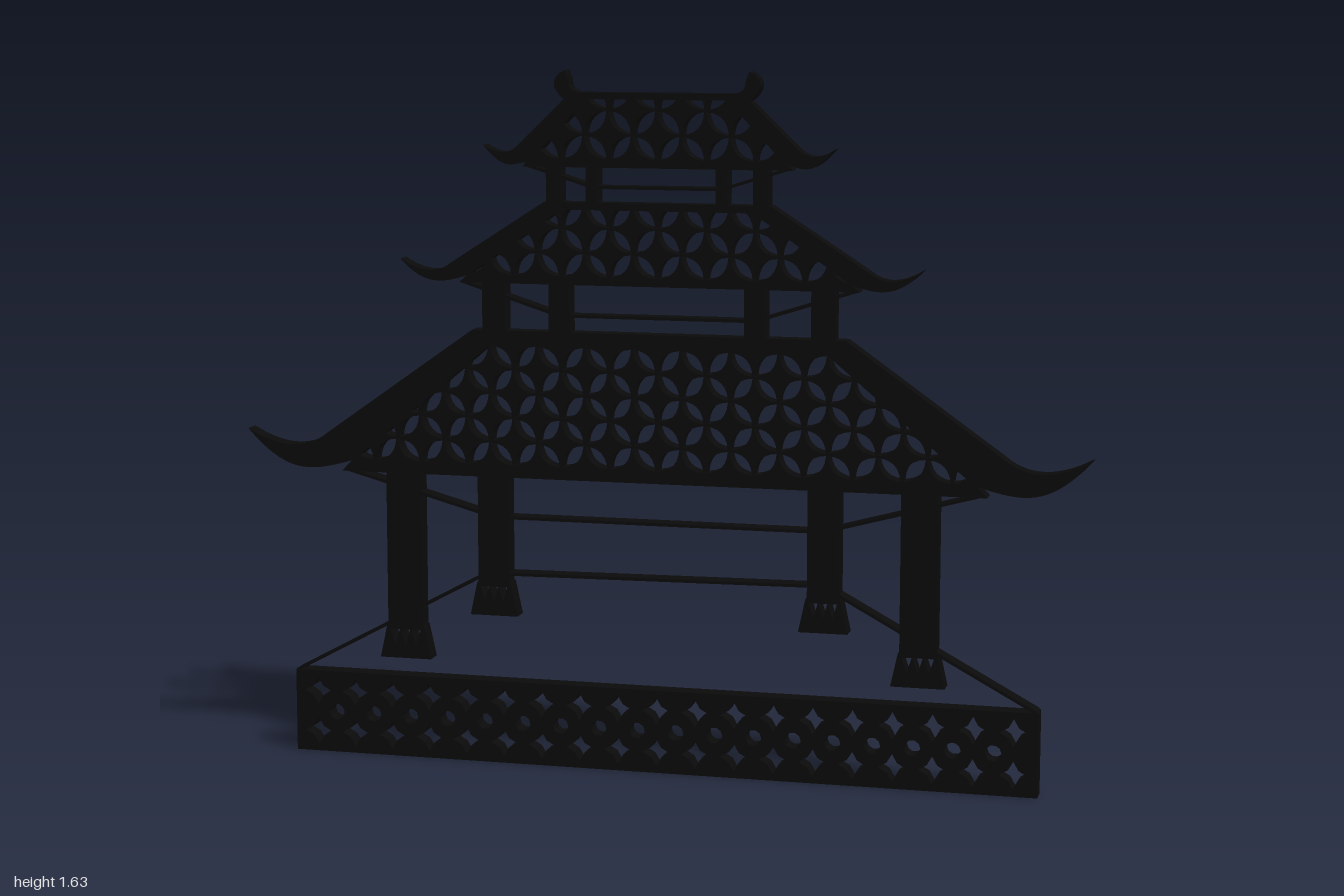
import * as THREE from 'three';

const DEPTH = 0.044;
const material = new THREE.MeshStandardMaterial({ color: 0x0a0a0a });
const vec = (pts) => pts.map(([x, y]) => new THREE.Vector2(x, y));
const mirror = (pts) => pts.map(([x, y]) => [-x, y]);

// Flat plate cut from a shape, centred on z = 0
function plate(name, shape, curveSegments = 8) {
  const geo = new THREE.ExtrudeGeometry(shape, { depth: DEPTH, bevelEnabled: false, curveSegments });
  geo.translate(0, 0, -DEPTH / 2);
  const mesh = new THREE.Mesh(geo, material);
  mesh.name = name;
  return mesh;
}

function polygon(pts, holes = []) {
  const shape = new THREE.Shape(vec(pts));
  for (const h of holes) shape.holes.push(new THREE.Path(vec(h)));
  return shape;
}

const rect = (x0, x1, y0, y1) => [[x0, y0], [x1, y0], [x1, y1], [x0, y1]];

// Thin rail between two points
function rail(name, [x0, y0], [x1, y1], w = 0.007) {
  const geo = new THREE.BoxGeometry(Math.hypot(x1 - x0, y1 - y0), w, DEPTH);
  geo.rotateZ(Math.atan2(y1 - y0, x1 - x0));
  geo.translate((x0 + x1) / 2, (y0 + y1) / 2, 0);
  const mesh = new THREE.Mesh(geo, material);
  mesh.name = name;
  return mesh;
}

// Clip a convex polygon to a convex counter-clockwise one
function clip(poly, bounds) {
  let out = poly;
  bounds.forEach((a, i) => {
    const b = bounds[(i + 1) % bounds.length];
    const side = (p) => (b[0] - a[0]) * (p[1] - a[1]) - (b[1] - a[1]) * (p[0] - a[0]);
    const src = out;
    out = [];
    src.forEach((p, k) => {
      const q = src[(k + 1) % src.length], sp = side(p), sq = side(q);
      if (sp >= 0) out.push(p);
      if (sp * sq < 0) {
        const t = sp / (sp - sq);
        out.push([p[0] + (q[0] - p[0]) * t, p[1] + (q[1] - p[1]) * t]);
      }
    });
  });
  return out;
}

const area = (p) => Math.abs(THREE.ShapeUtils.area(vec(p)));

// Leaf-shaped opening, the overlap of two quarter arcs
function petal(cx, cy, angle, length, width) {
  const pts = [], n = 6;
  for (let s = 0; s < 2; s++) {
    for (let i = 0; i < n; i++) {
      const t = i / n, sign = s ? -1 : 1;
      const u = sign * (t - 0.5) * length, v = -sign * 2 * t * (1 - t) * width;
      pts.push([cx + u * Math.cos(angle) - v * Math.sin(angle), cy + u * Math.sin(angle) + v * Math.cos(angle)]);
    }
  }
  return pts;
}

// Interlaced-circle openings filling a trapezoid
function lattice(bounds, period = 0.114) {
  const holes = [], h = period / 2, y0 = bounds[0][1], rows = Math.ceil((bounds[2][1] - y0) / h);
  const cols = Math.ceil(bounds[1][0] / h) + 1;
  for (let j = 0; j < rows; j++) {
    for (let i = -cols; i < cols; i++) {
      const angle = (i + j) % 2 === 0 ? Math.PI / 4 : -Math.PI / 4;
      const p = clip(petal((i + 0.5) * h, y0 + (j + 0.5) * h, angle, h * 1.3, h * 0.57), bounds);
      if (p.length > 2 && area(p) > 1e-4) holes.push(p);
    }
  }
  return holes;
}

// Pierced roof panel with a sweeping hip on either side
function roof(name, r) {
  const group = new THREE.Group();
  group.name = name;
  const outer = [[-r.eave, r.bottom], [r.eave, r.bottom], [r.ridge, r.top], [-r.ridge, r.top]];
  const [lowX, lowY] = r.innerLow, [highX, highY] = r.innerHigh;
  const inner = [[-lowX, lowY], [lowX, lowY], [highX, highY], [-highX, highY]];
  group.add(plate('roofPanel', polygon(outer, lattice(inner))));
  const [tipX, tipY] = r.tip, [bendX, bendY] = r.bend;
  for (const s of [1, -1]) {
    const hip = new THREE.Shape();
    hip.moveTo(s * highX, highY);
    hip.lineTo(s * r.ridge, r.top);
    hip.lineTo(s * bendX, bendY);
    hip.quadraticCurveTo(s * (bendX + (tipX - bendX) * 0.4), bendY - r.dip, s * tipX, tipY);
    hip.bezierCurveTo(s * (tipX - 0.1 * r.k), tipY - 0.11 * r.k, s * (r.eave + 0.08 * r.k), r.bottom - 0.005, s * lowX, lowY);
    group.add(plate('roofHip', hip, 14));
  }
  return group;
}

// Post with a splayed foot, cut by a row of pointed notches
function post(x0, x1, y0, y1, footBottom, pad) {
  const group = new THREE.Group();
  group.name = 'column';
  group.add(plate('columnShaft', polygon(rect(x0, x1, y0, y1))));
  const w = (x1 - x0 - 0.008) / 3, top = y0 - 0.006, notches = [];
  for (let i = 0; i < 3; i++) {
    const a = x0 + 0.004 + i * w;
    notches.push([[a + 0.001, top], [a + w / 2, top - 0.036], [a + w - 0.001, top]]);
  }
  const foot = [[x0 - pad, footBottom], [x1 + pad, footBottom], [x1 + 0.003, y0 + 0.004], [x0 - 0.003, y0 + 0.004]];
  group.add(plate('columnFoot', polygon(foot, notches)));
  return group;
}

// Base slab pierced by stars and round holes
function base() {
  const shape = polygon(rect(-0.89, 0.89, 0, 0.197));
  const step = 0.0927;
  for (let i = -9; i <= 9; i++) {
    for (const y of [0.049, 0.148]) {
      const star = [];
      for (let k = 0; k < 8; k++) {
        const r = k % 2 ? 0.017 : 0.033, a = (k * Math.PI) / 4;
        star.push([i * step + r * Math.cos(a), y + r * Math.sin(a)]);
      }
      shape.holes.push(new THREE.Path(vec(star)));
    }
    if (i < 9) shape.holes.push(new THREE.Path().absarc((i + 0.5) * step, 0.0985, 0.019, 0, Math.PI * 2, true));
  }
  return plate('base', shape, 5);
}

export function createModel() {
  const model = new THREE.Group();
  model.name = 'pagoda';
  model.add(base());

  // Three tiers of roof
  model.add(roof('lowerRoof', {
    ridge: 0.44, top: 1.03, eave: 0.765, bottom: 0.685, innerHigh: [0.39, 1.003], innerLow: [0.735, 0.712],
    bend: [0.8, 0.775], tip: [1, 0.778], dip: 0.065, k: 1,
  }));
  model.add(roof('middleRoof', {
    ridge: 0.265, top: 1.33, eave: 0.47, bottom: 1.14, innerHigh: [0.225, 1.313], innerLow: [0.45, 1.157],
    bend: [0.49, 1.185], tip: [0.613, 1.192], dip: 0.04, k: 0.55,
  }));
  model.add(roof('upperRoof', {
    ridge: 0.2, top: 1.58, eave: 0.315, bottom: 1.41, innerHigh: [0.165, 1.565], innerLow: [0.295, 1.427],
    bend: [0.325, 1.46], tip: [0.41, 1.458], dip: 0.035, k: 0.45,
  }));

  for (const s of [1, -1]) {
    // Curled ridge ends
    const curl = new THREE.Shape();
    curl.moveTo(s * 0.17, 1.575);
    curl.quadraticCurveTo(s * 0.205, 1.585, s * 0.206, 1.6);
    curl.quadraticCurveTo(s * 0.207, 1.615, s * 0.215, 1.63);
    curl.bezierCurveTo(s * 0.25, 1.615, s * 0.25, 1.58, s * 0.2, 1.555);
    model.add(plate('ridgeCurl', curl, 10));

    // Main columns, outer and inner
    const span = (a, b) => (s > 0 ? [a, b] : [-b, -a]);
    model.add(post(...span(0.57, 0.655), 0.315, 0.7, 0.24, 0.02));
    model.add(post(...span(0.355, 0.43), 0.43, 0.7, 0.355, 0.02));

    // Upper storey posts
    for (const [a, b, y0, y1] of [
      [0.36, 0.415, 1.02, 1.15], [0.205, 0.255, 1.02, 1.15],
      [0.225, 0.26, 1.32, 1.42], [0.138, 0.166, 1.32, 1.42],
    ]) model.add(plate('upperPost', polygon(rect(...span(a, b), y0, y1))));

    // Receding rails
    for (const line of [
      [[0.885, 0.197], [0.4, 0.46]], [[0.755, 0.69], [0.39, 0.59]],
      [[0.465, 1.143], [0.23, 1.068]], [[0.305, 1.413], [0.15, 1.365]],
    ]) {
      const [a, b] = s > 0 ? line : mirror(line);
      model.add(rail('sideRail', a, b));
    }
  }

  // Rear rails
  model.add(rail('floorRail', [-0.4, 0.455], [0.4, 0.464]));
  for (const [x, y] of [[0.39, 0.59], [0.23, 1.068], [0.15, 1.365]]) model.add(rail('rearRail', [-x, y], [x, y]));
  return model;
}
